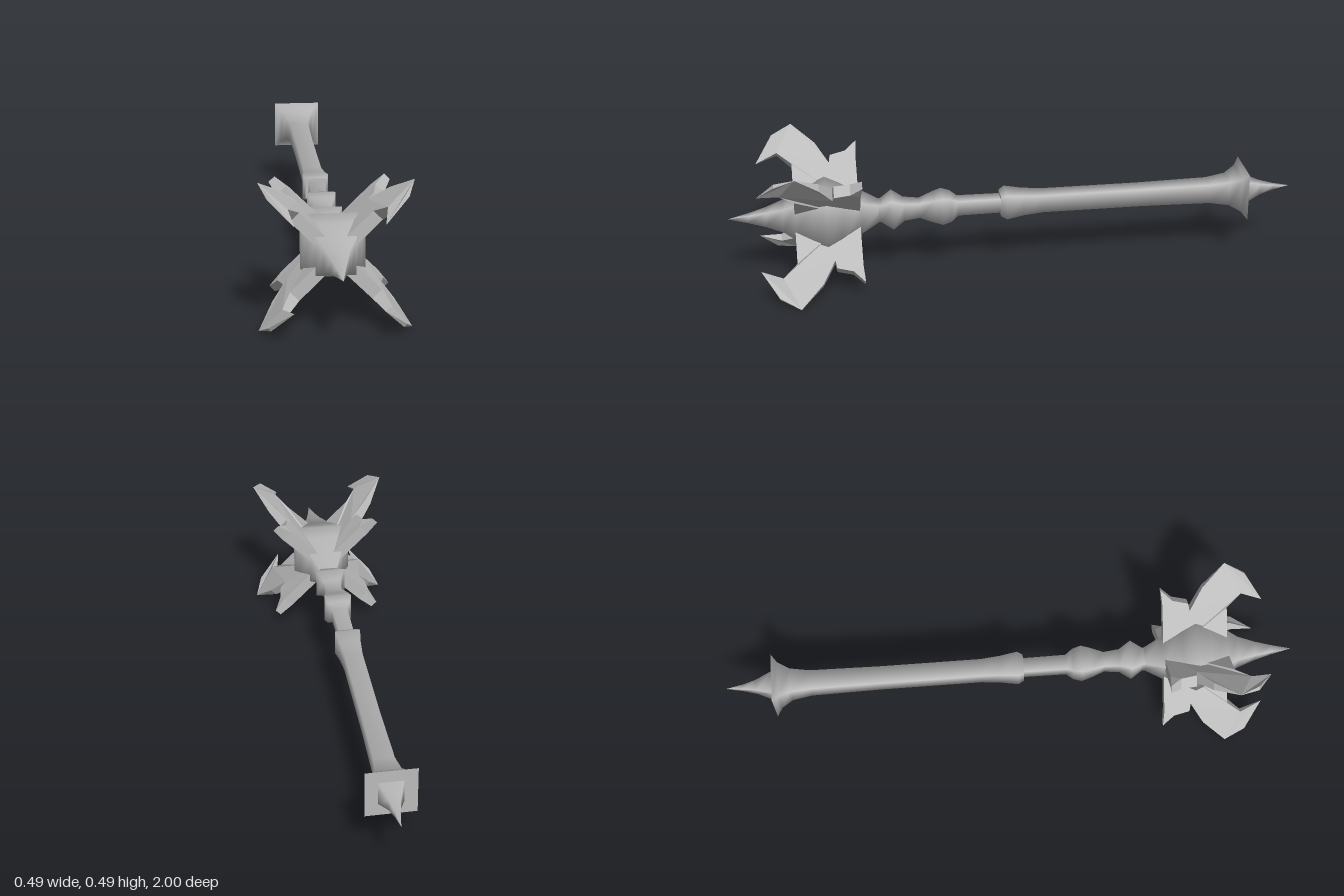
import * as THREE from 'three';

const steel = new THREE.MeshStandardMaterial({ color: 0xbcbcbc });
steel.name = 'steel';

const AXIS_Y = 0.245;

// Square-section bar along z; profile = [z, half width], from back to front
function squareBar(name, profile) {
  const points = profile.map(([z, h]) => new THREE.Vector2(h * Math.SQRT2, z));
  const geometry = new THREE.LatheGeometry(points, 4, Math.PI / 4);
  geometry.rotateX(Math.PI / 2);
  const mesh = new THREE.Mesh(geometry, steel);
  mesh.name = name;
  return mesh;
}

// Hooked blade standing out from the axis, thinning towards its points
function bladeGeometry() {
  const outline = [
    [0, 0.545], [0.145, 0.545], [0.186, 0.54], [0.158, 0.58], [0.148, 0.635],
    [0.128, 0.64], [0.185, 0.685], [0.243, 0.765], [0.213, 0.835], [0.14, 0.895],
    [0.163, 0.82], [0.13, 0.77], [0, 0.77],
  ];
  const shape = new THREE.Shape(outline.map(([a, z]) => new THREE.Vector2(a * Math.SQRT2, z)));
  const geometry = new THREE.ExtrudeGeometry(shape, { depth: 1, bevelEnabled: false });
  const pos = geometry.attributes.position;
  for (let i = 0; i < pos.count; i++) {
    const a = pos.getX(i) / Math.SQRT2;
    const outer = THREE.MathUtils.clamp((0.243 - a) / 0.09, 0.02, 1);
    const front = THREE.MathUtils.clamp((0.895 - pos.getY(i)) / 0.12, 0.02, 1);
    pos.setZ(i, (pos.getZ(i) - 0.5) * 0.042 * Math.min(outer, front));
  }
  geometry.computeVertexNormals();
  geometry.rotateX(Math.PI / 2);
  return geometry;
}

export function createModel() {
  const model = new THREE.Group();
  model.name = 'mace';
  const body = new THREE.Group();
  body.name = 'maceBody';
  body.position.y = AXIS_Y;
  model.add(body);

  // Pommel and grip
  body.add(
    squareBar('pommelSpike', [[-1, 0], [-0.94, 0.009], [-0.89, 0.02], [-0.83, 0.042]]),
    squareBar('pommelPlate', [[-0.83, 0], [-0.83, 0.086]]),
    squareBar('grip', [
      [-0.83, 0.086], [-0.81, 0.063], [-0.77, 0.044], [-0.7, 0.035], [-0.45, 0.032],
      [-0.1, 0.032], [-0.03, 0.037], [0.03, 0.045], [0.05, 0.036],
    ]),
    squareBar('gripCap', [[0.05, 0.036], [0.05, 0.02]]),
  );

  // Neck with two swellings
  body.add(squareBar('neck', [
    [0.04, 0.026], [0.2, 0.027], [0.225, 0.042], [0.255, 0.049], [0.285, 0.042],
    [0.335, 0.027], [0.39, 0.032], [0.43, 0.053], [0.47, 0.032], [0.5, 0.03],
  ]));

  // Head swelling and long front spike
  body.add(squareBar('head', [
    [0.47, 0.028], [0.54, 0.058], [0.61, 0.088], [0.66, 0.105], [0.71, 0.088], [0.77, 0.064],
    [0.81, 0.043], [0.87, 0.026], [0.93, 0.013], [1, 0],
  ]));

  // Four blades on the diagonals
  const geometry = bladeGeometry();
  for (let i = 0; i < 4; i++) {
    const blade = new THREE.Mesh(geometry, steel);
    blade.name = `blade${i + 1}`;
    blade.rotation.z = Math.PI / 4 + (i * Math.PI) / 2;
    body.add(blade);
  }
  return model;
}
